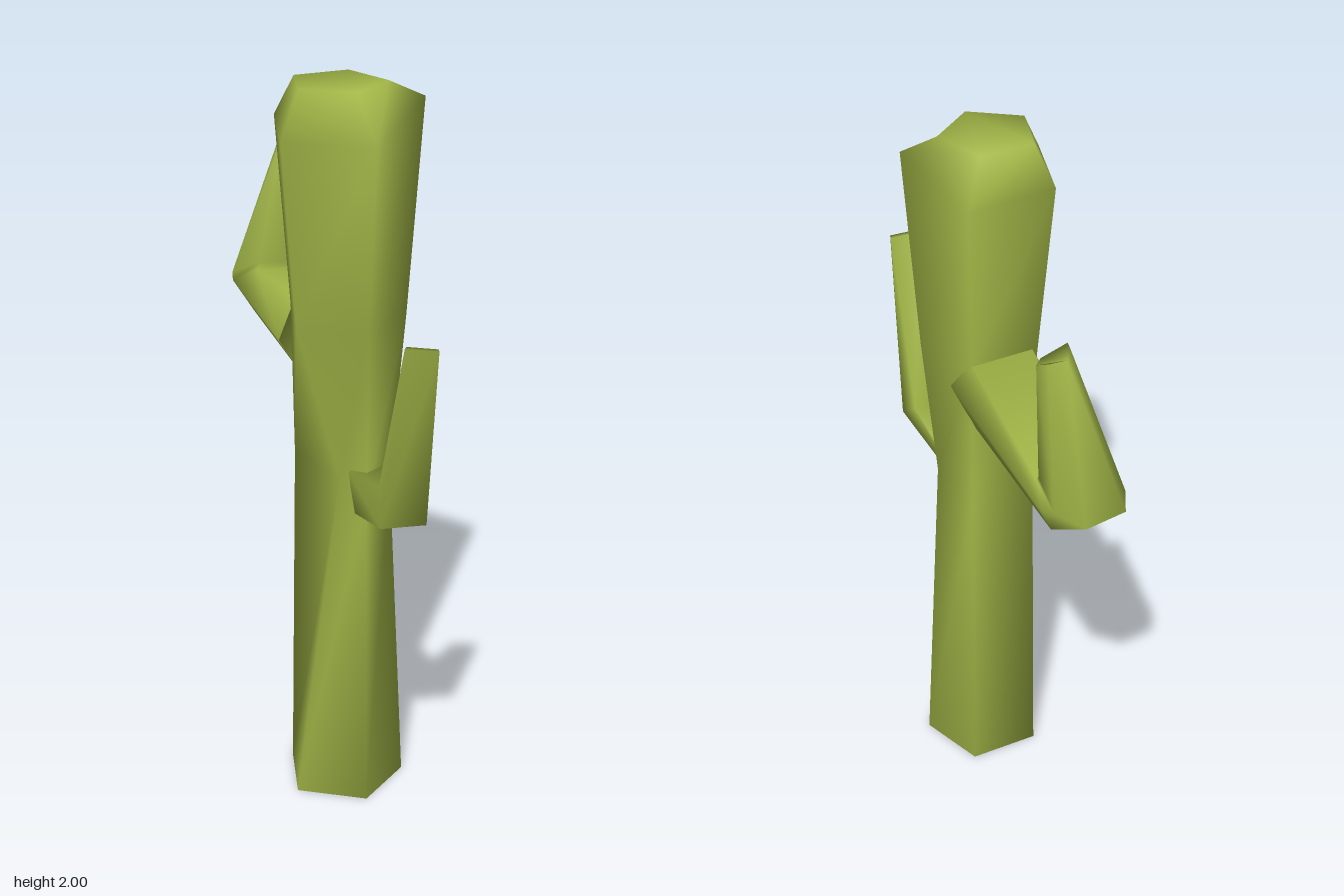
import * as THREE from 'three';

// Skin a closed solid over matching rings; each ring runs clockwise seen from the far end.
function loft(rings) {
  const n = rings[0].length, last = (rings.length - 1) * n, index = [];
  for (let r = 0; r < rings.length - 1; r++) {
    for (let k = 0; k < n; k++) {
      const a = r * n + k, b = r * n + (k + 1) % n;
      index.push(a, a + n, b, b, a + n, b + n);
    }
  }
  for (let k = 1; k < n - 1; k++) {
    index.push(0, k, k + 1, last, last + k + 1, last + k);
  }
  const geometry = new THREE.BufferGeometry();
  geometry.setAttribute('position', new THREE.Float32BufferAttribute(rings.flat(2), 3));
  geometry.setIndex(index);
  geometry.computeVertexNormals();
  return geometry;
}

// Five-sided ring with one corner pointing straight back
function pentagon(cx, cz, radius, heights) {
  return heights.map((y, k) => {
    const a = THREE.MathUtils.degToRad(54 + 72 * k);
    return [cx + radius * Math.cos(a), y, cz + radius * Math.sin(a)];
  });
}

const level = (y) => Array(5).fill(y);

export function createModel() {
  const group = new THREE.Group();
  const cactusGreen = new THREE.MeshStandardMaterial({ color: 0xa2b647 });
  cactusGreen.name = 'cactusGreen';

  const add = (name, rings) => {
    const mesh = new THREE.Mesh(loft(rings), cactusGreen);
    mesh.name = name;
    group.add(mesh);
  };

  // Trunk: wide foot, pinched waist, swelling head with a bevelled top
  add('trunk', [
    pentagon(0.065, 0.11, 0.168, level(0)),
    [[0.15, 0.9, 0.21], [0.07, 0.94, 0.18], [-0.085, 0.95, 0.05], [0.065, 0.95, -0.055], [0.19, 0.94, 0.1]],
    pentagon(0.065, 0.11, 0.165, level(1.38)),
    pentagon(0.062, 0.109, 0.209, [1.88, 1.88, 1.89, 1.88, 1.96]),
    pentagon(0.045, 0.105, 0.13, level(2)),
  ]);

  // Front arm: slim, reaching out and bending up to a thin tip
  add('frontArm', [
    [[0.16, 0.85, 0.18], [0.11, 0.85, 0.19], [0.085, 0.97, 0.17], [0.18, 0.97, 0.13]],
    [[0.345, 0.925, 0.385], [0.235, 0.925, 0.435], [0.21, 1.0, 0.34], [0.29, 1.0, 0.295]],
    [[0.39, 1.445, 0.5], [0.31, 1.455, 0.532], [0.31, 1.455, 0.512], [0.385, 1.445, 0.485]],
  ]);

  // Back arm: thick, with a sharp elbow and an upright forearm
  add('backArm', [
    [[-0.08, 1.2, 0.05], [0.06, 1.2, -0.045], [0.13, 1.3, -0.01],
      [0.07, 1.4, -0.045], [-0.08, 1.4, 0.05], [-0.115, 1.29, 0.1]],
    [[-0.31, 1.185, -0.39], [-0.2, 1.185, -0.44], [-0.18, 1.26, -0.47],
      [-0.16, 1.32, -0.42], [-0.3, 1.32, -0.375], [-0.375, 1.28, -0.385]],
    [[-0.39, 1.29, -0.475], [-0.3, 1.27, -0.535], [-0.215, 1.29, -0.507],
      [-0.165, 1.34, -0.43], [-0.295, 1.34, -0.38], [-0.38, 1.3, -0.4]],
    [[-0.235, 1.715, -0.465], [-0.19, 1.7, -0.467], [-0.158, 1.68, -0.445],
      [-0.165, 1.685, -0.42], [-0.225, 1.71, -0.38], [-0.238, 1.715, -0.42]],
  ]);

  return group;
}
